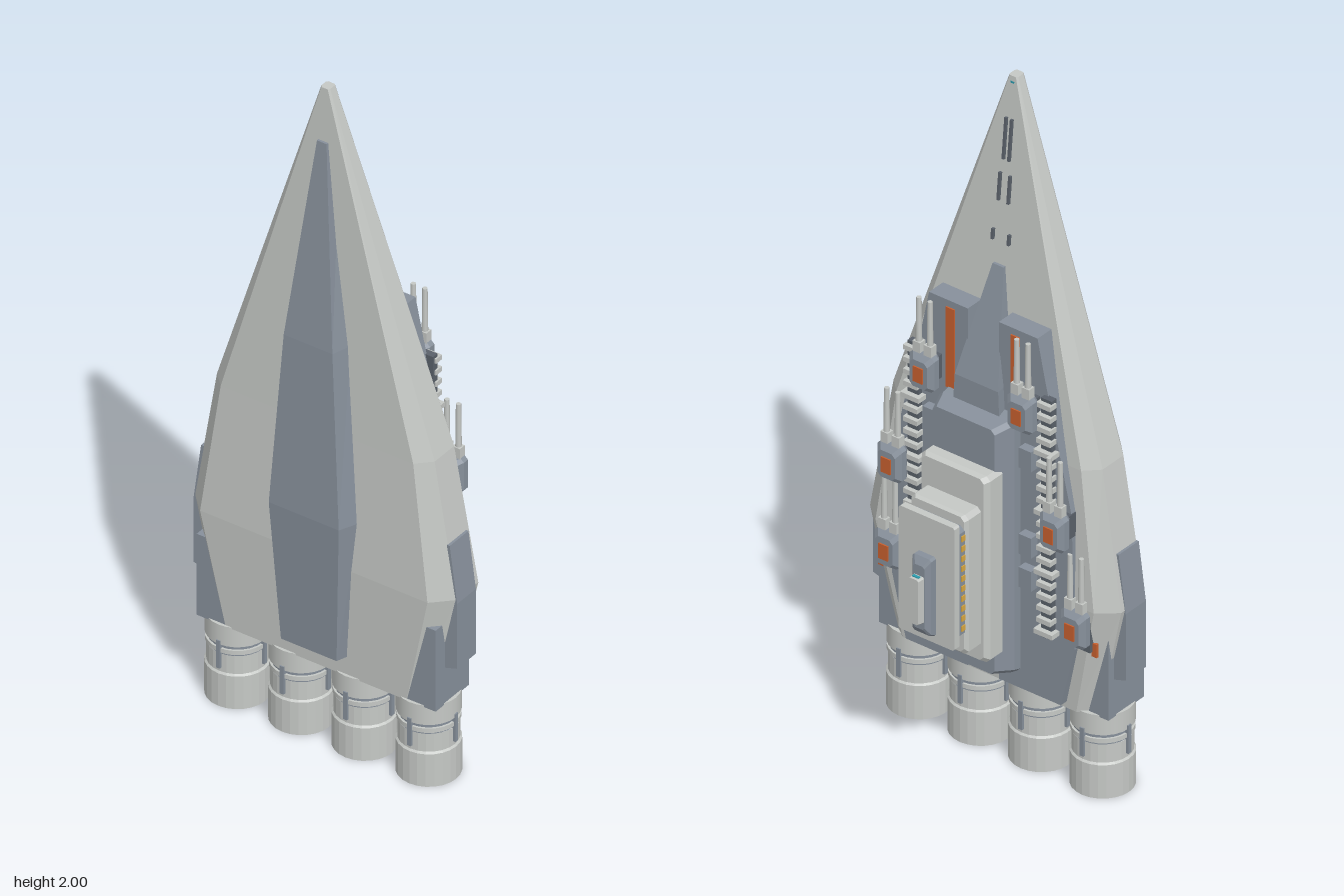
import * as THREE from 'three';

const mat = (name, color) => {
  const m = new THREE.MeshStandardMaterial({ color });
  m.name = name;
  return m;
};

export function createModel() {
  const light = mat('light hull grey', 0xc5c8c5);
  const slate = mat('slate blue grey', 0x87909b);
  const dark = mat('dark gunmetal', 0x5a616a);
  const orange = mat('orange marking', 0xc8602f);
  const teal = mat('teal glow', 0x2c9db0);
  const amber = mat('amber window', 0xd8a640);

  const ship = new THREE.Group();
  ship.name = 'starship';

  const add = (name, geo, m, x = 0, y = 0, z = 0, parent = ship) => {
    const mesh = new THREE.Mesh(geo, m);
    mesh.name = name;
    mesh.position.set(x, y, z);
    parent.add(mesh);
    return mesh;
  };
  const box = (name, m, w, h, d, x, y, z, parent) =>
    add(name, new THREE.BoxGeometry(w, h, d), m, x, y, z, parent);

  // Flat-faced skin over equal-length rings, capped at both ends
  const loft = (rings) => {
    const p = [];
    const tri = (a, b, c) => p.push(...a, ...b, ...c);
    const n = rings[0].length;
    for (let i = 0; i < rings.length - 1; i++) {
      for (let j = 0; j < n; j++) {
        const k = (j + 1) % n;
        tri(rings[i][j], rings[i][k], rings[i + 1][k]);
        tri(rings[i][j], rings[i + 1][k], rings[i + 1][j]);
      }
    }
    const lo = rings[0], hi = rings[rings.length - 1];
    for (let j = 1; j < n - 1; j++) {
      tri(lo[0], lo[j + 1], lo[j]);
      tri(hi[0], hi[j], hi[j + 1]);
    }
    const g = new THREE.BufferGeometry();
    g.setAttribute('position', new THREE.Float32BufferAttribute(p, 3));
    g.computeVertexNormals();
    return g;
  };

  // Block rising towards -z through [z, half width, y low, y high] levels with cut corners
  const tier = (levels, c = 0.012) => loft(levels.map(([z, w, a, b]) => [
    [-w + c, a, z], [-w, a + c, z], [-w, b - c, z], [-w + c, b, z],
    [w - c, b, z], [w, b - c, z], [w, a + c, z], [w - c, a, z],
  ]));

  // Prism with an outline in x, y
  const prism = (pts, z0, z1) => {
    const s = new THREE.Shape(pts.map(([x, y]) => new THREE.Vector2(x, y)));
    return new THREE.ExtrudeGeometry(s, { depth: z1 - z0, bevelEnabled: false }).translate(0, 0, z0);
  };

  // Hull: eight-sided sections [y, side, face, deck z, side z back, side z front, belly z]
  add('hull', loft([
    [0.245, 0.33, 0.28, 0.045, 0.08, 0.165, 0.208],
    [0.58, 0.405, 0.352, 0.025, 0.07, 0.165, 0.218],
    [0.98, 0.337, 0.298, 0.042, 0.08, 0.165, 0.204],
    [2, 0.014, 0.01, 0.14, 0.145, 0.165, 0.171],
  ].map(([y, o, f, d, a, b, k]) => [
    [o, y, b], [o, y, a], [f, y, d], [-f, y, d],
    [-o, y, a], [-o, y, b], [-f, y, k], [f, y, k],
  ])), light);

  // Keel along the belly: [y, half width, z]
  add('keel', loft([
    [0.305, 0.105, 0.24], [0.73, 0.132, 0.262], [1.25, 0.092, 0.243], [1.84, 0.018, 0.183],
  ].map(([y, w, z]) => {
    const i = w * 0.82, b = z - 0.055;
    return [[w, y, b], [-w, y, b], [-i, y, z], [i, y, z]];
  })), slate);

  box('engineBlock', slate, 0.74, 0.25, 0.145, 0, 0.37, 0.135);

  // Engines: banded nozzles with glowing throats
  for (const x of [-0.296, -0.098, 0.098, 0.296]) {
    const e = new THREE.Group();
    e.name = 'engine';
    e.position.set(x, 0, 0.133);
    ship.add(e);
    const cyl = (name, m, r0, r1, y0, y1) => add(name,
      new THREE.CylinderGeometry(r1, r0, y1 - y0, 24), m, 0, (y0 + y1) / 2, 0, e);
    const bell = [[0.068, 0.045], [0.07, 0], [0.085, 0], [0.085, 0.1], [0.08, 0.105], [0.08, 0.16]]
      .map(([r, y]) => new THREE.Vector2(r, y));
    const g = new THREE.LatheGeometry(bell, 24).toNonIndexed();
    g.computeVertexNormals();
    const m = add('nozzle', g, light, 0, 0, 0, e);
    m.material = light;
    cyl('throatGlow', teal, 0.069, 0.069, 0.04, 0.05);
    cyl('band', slate, 0.077, 0.077, 0.158, 0.195);
    cyl('collar', light, 0.084, 0.084, 0.19, 0.25);
    cyl('bandRim', light, 0.083, 0.083, 0.165, 0.178);
    for (let i = 0; i < 4; i++) {
      const a = i * Math.PI / 2;
      const s = box('strut', slate, 0.012, 0.085, 0.012,
        Math.sin(a) * 0.081, 0.16, Math.cos(a) * 0.081, e);
      s.rotation.y = a;
    }
  }

  // Central superstructure, stepping away from the deck
  add('spineWedge', loft([
    [1.0, 0.078, -0.01], [1.15, 0.07, -0.008], [1.46, 0.018, 0.08],
  ].map(([y, w, z]) => [[w * 0.7, y, 0.12], [w, y, z], [-w, y, z], [-w * 0.7, y, 0.12]])), slate);
  add('citadelBase', tier([[0.06, 0.12, 0.3, 1.09], [-0.005, 0.12, 0.32, 1.08],
    [-0.06, 0.1, 0.335, 1.07]]), slate);
  add('lowerTier', tier([[-0.04, 0.11, 0.39, 0.95], [-0.09, 0.11, 0.39, 0.95],
    [-0.105, 0.1, 0.4, 0.945]]), light);
  add('upperTier', tier([[-0.1, 0.092, 0.44, 0.86], [-0.155, 0.092, 0.44, 0.86],
    [-0.165, 0.085, 0.45, 0.855]]), light);
  add('bridge', tier([[-0.15, 0.086, 0.5, 0.83], [-0.192, 0.086, 0.5, 0.83]]), slate);
  add('bridgeRoof', tier([[-0.19, 0.09, 0.48, 0.85], [-0.211, 0.09, 0.48, 0.85]], 0.005), light);
  add('mastBase', tier([[-0.21, 0.03, 0.5, 0.74], [-0.23, 0.03, 0.51, 0.74],
    [-0.243, 0.018, 0.53, 0.72]], 0.006), slate);
  add('mastCap', tier([[-0.24, 0.018, 0.55, 0.69], [-0.265, 0.016, 0.555, 0.69]], 0.004), light);
  box('mastLight', teal, 0.02, 0.006, 0.008, 0, 0.69, -0.253);
  box('noseLight', teal, 0.012, 0.02, 0.006, 0, 1.975, 0.141);

  // Twin-barrel turret; its guns point towards the nose
  const turret = (x, y, z) => {
    const t = new THREE.Group();
    t.name = 'turret';
    t.position.set(x, y, z);
    ship.add(t);
    box('turretPedestal', dark, 0.05, 0.07, 0.04, 0, 0, 0.015, t);
    add('turretBody', tier([[0.002, 0.03, -0.05, 0.045], [-0.012, 0.04, -0.055, 0.05],
      [-0.03, 0.04, -0.055, 0.05], [-0.045, 0.028, -0.045, 0.035]], 0.01), slate, 0, 0, 0, t);
    box('turretPanel', orange, 0.03, 0.045, 0.006, 0, -0.005, -0.046, t);
    for (const s of [-1, 1]) {
      box('barrelSleeve', light, 0.024, 0.04, 0.022, s * 0.018, 0.06, -0.02, t);
      add('barrel', new THREE.CylinderGeometry(0.007, 0.009, 0.17, 8), light, s * 0.018, 0.125, -0.02, t);
    }
  };

  // Features repeated on both sides
  for (const s of [-1, 1]) {
    const side = (pts) => pts.map(([x, y]) => [x * s, y]);
    add('deckPlate', prism(side([[0.05, 1.34], [0.175, 1.34], [0.2, 1.22], [0.285, 0.85],
      [0.295, 0.45], [0.25, 0.265], [0.05, 0.265]]), 0.02, 0.09), slate);
    add('sideArmour', prism(side([[0.34, 0.74], [0.385, 0.74], [0.408, 0.57],
      [0.408, 0.37], [0.36, 0.355], [0.34, 0.355]]), 0.085, 0.167), slate);
    box('deckStripe', orange, 0.028, 0.24, 0.008, s * 0.105, 1.2, 0.02);
    box('sternMarker', orange, 0.016, 0.04, 0.008, s * 0.345, 0.46, 0.04);
    box('sternPod', dark, 0.03, 0.09, 0.04, s * 0.325, 0.5, 0.045);

    turret(s * 0.158, 1.135, 0);
    turret(s * 0.262, 0.82, 0);
    turret(s * 0.3, 0.525, 0.038);

    // Ribbed machinery running along the deck
    box('ribTray', dark, 0.035, 0.72, 0.02, s * 0.215, 0.82, 0.015);
    for (let i = 0; i < 20; i++) {
      box('rib', light, i % 5 ? 0.045 : 0.06, 0.014, i % 5 ? 0.026 : 0.03, s * 0.215, 0.48 + i * 0.036, 0.005);
    }
    for (const y of [0.62, 0.72, 0.98]) {
      box('deckLocker', slate, 0.04, 0.06, 0.03, s * 0.155, y, 0.008);
    }

    // Bridge windows along the flank
    for (let i = 0; i < 10; i++) {
      box('window', amber, 0.004, 0.016, 0.013, s * 0.087, 0.53 + i * 0.03, -0.172);
    }

    // Small fins on the forward deck: [x, y, deck z, height]
    for (const [x, y, z, h] of [[0.009, 1.82, 0.122, 0.12], [0.016, 1.68, 0.108, 0.08], [0.026, 1.54, 0.094, 0.03]]) {
      const f = box('deckFin', dark, 0.007, h, 0.014, s * x, y, z);
      f.rotation.x = 0.096;
    }
  }
  return ship;
}
